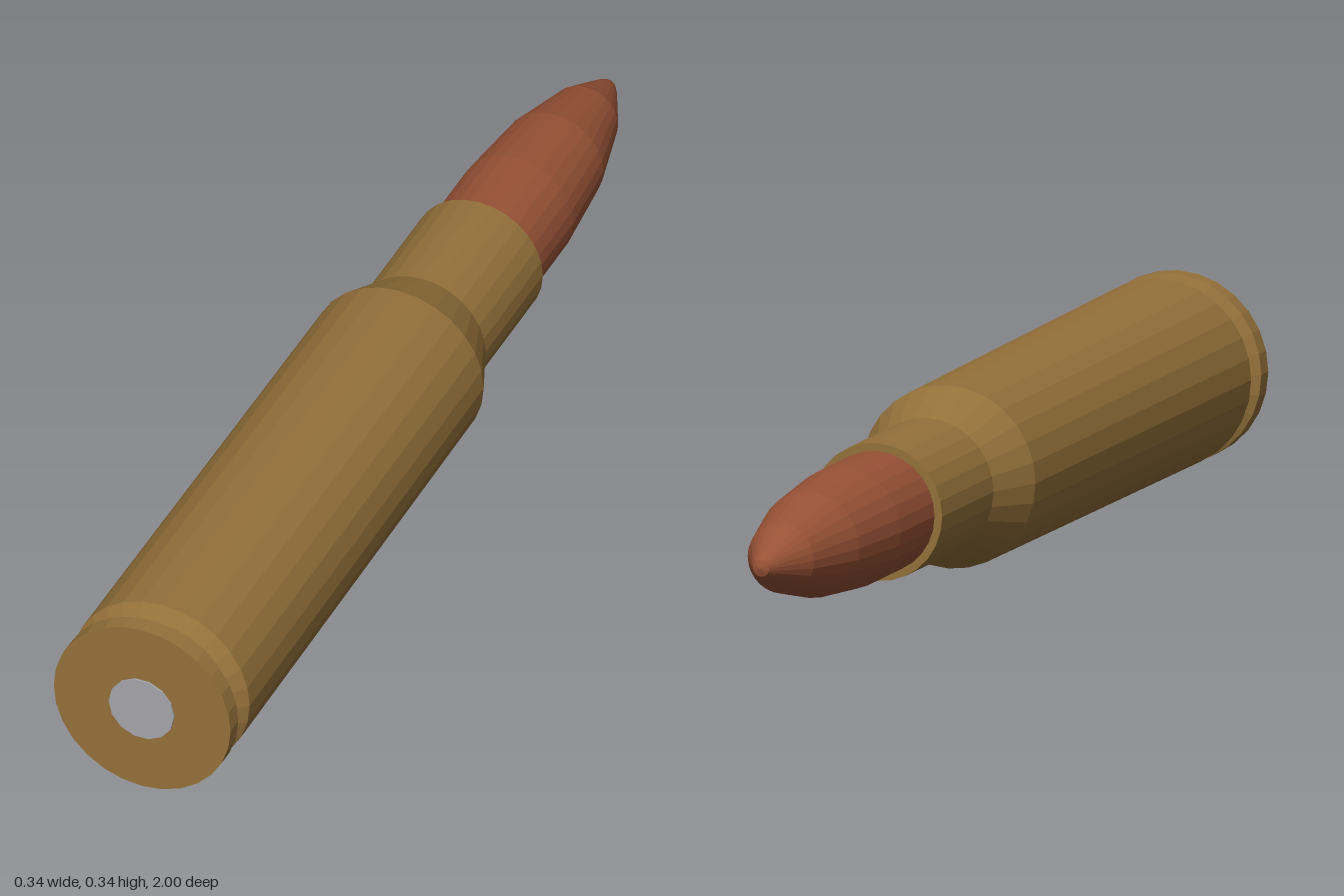
import * as THREE from 'three';

const AXIS_Y = 0.17;

// Turn a [z, radius] profile, listed from head (+z) to tip (-z), about the long axis
function turned(name, profile, sides, material, start = 0) {
  const points = profile.map(([z, r]) => new THREE.Vector2(r, -z));
  const geometry = new THREE.LatheGeometry(points, sides, start);
  geometry.rotateX(-Math.PI / 2);
  const mesh = new THREE.Mesh(geometry, material);
  mesh.name = name;
  mesh.position.y = AXIS_Y;
  return mesh;
}

function flat(name, color) {
  const material = new THREE.MeshStandardMaterial({ color, flatShading: true });
  material.name = name;
  return material;
}

export function createModel() {
  const brass = flat('brass', 0x94713a);
  const copper = flat('copper', 0x985236);
  const steel = flat('steel', 0xa6a5aa);

  const group = new THREE.Group();
  group.name = 'cartridge';

  // Case: rim, extractor groove, tapered body, shoulder, neck and mouth
  group.add(turned('case', [
    [0.996, 0], [0.996, 0.168], [0.963, 0.168], [0.952, 0.145], [0.935, 0.145],
    [0.914, 0.168], [-0.1, 0.162], [-0.198, 0.122], [-0.443, 0.122], [-0.443, 0.1],
  ], 28, brass));

  // Bullet: straight shank and curved nose with a small blunt tip
  group.add(turned('bullet', [
    [-0.4, 0.108], [-0.605, 0.108], [-0.765, 0.094], [-0.9, 0.062],
    [-0.98, 0.024], [-0.995, 0.015], [-1, 0],
  ], 28, copper));

  // Primer disc, slightly proud of the head
  group.add(turned('primer', [[1, 0], [1, 0.062], [0.993, 0.062]], 14, steel, Math.PI / 2));

  return group;
}
